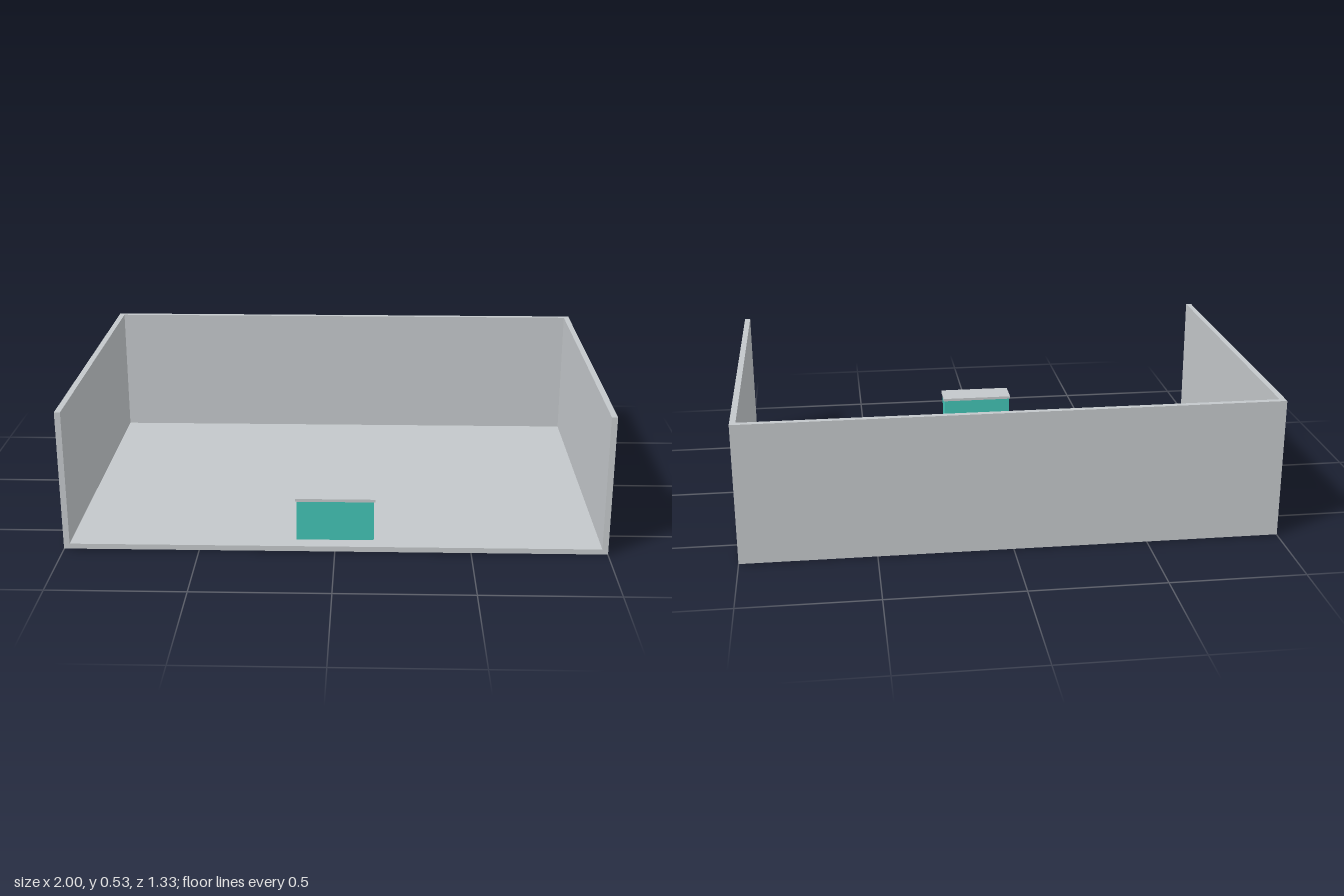
import * as THREE from 'three';

export function createModel() {
  const model = new THREE.Group();
  model.name = 'openRoom';

  const grey = new THREE.MeshStandardMaterial({ color: 0xc3c7ca });
  grey.name = 'light grey';
  const teal = new THREE.MeshStandardMaterial({ color: 0x42c2b4 });
  teal.name = 'teal';

  // Box given by its lower and upper corners
  function box(name, material, [x0, y0, z0], [x1, y1, z1]) {
    const mesh = new THREE.Mesh(new THREE.BoxGeometry(x1 - x0, y1 - y0, z1 - z0), material);
    mesh.position.set((x0 + x1) / 2, (y0 + y1) / 2, (z0 + z1) / 2);
    mesh.name = name;
    model.add(mesh);
  }

  const W = 1, D = 0.667, H = 0.535, T = 0.022, base = 0.002;

  // Floor and three walls, open at the front
  box('floor', grey, [-W + T, base, -D + T], [W - T, T, D]);
  box('backWall', grey, [-W + T, base, -D], [W - T, H, -D + T]);
  box('leftWall', grey, [W - T, base, -D], [W, H, D]);
  box('rightWall', grey, [-W, base, -D], [-W + T, H, D]);

  // Counter, let through the floor, with an overhanging top
  box('counterBody', teal, [-0.143, 0, 0.5], [0.143, 0.176, 0.608]);
  box('counterTop', grey, [-0.148, 0.176, 0.495], [0.148, 0.187, 0.613]);

  return model;
}
